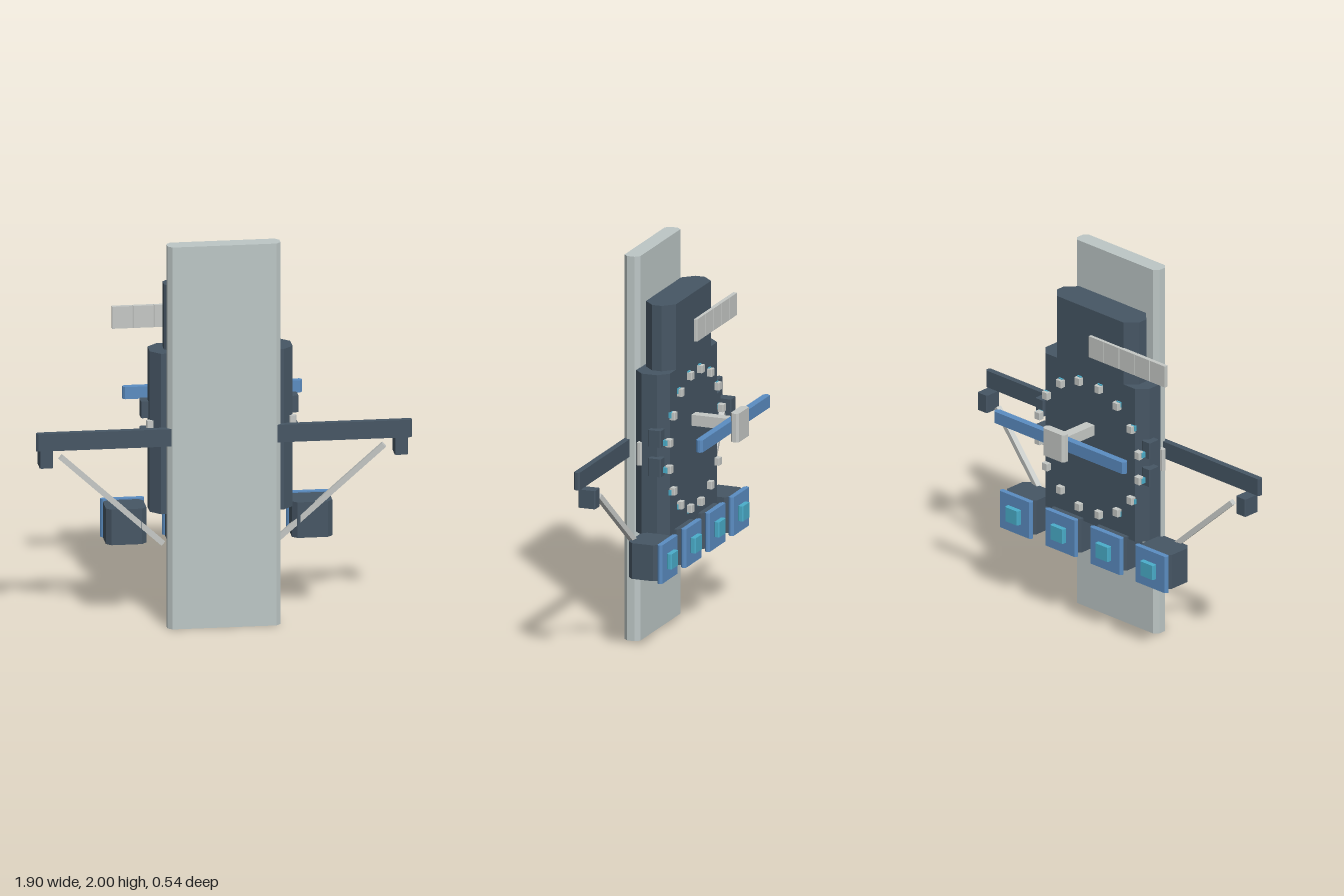
import * as THREE from 'three';

const mat = (name, color) => {
  const m = new THREE.MeshStandardMaterial({ color });
  m.name = name;
  return m;
};

export function createModel() {
  const model = new THREE.Group();
  const hull = mat('slate hull', 0x465664);
  const panel = mat('pale panel', 0xbdc7c6);
  const metal = mat('light metal', 0xc6c9c6);
  const blue = mat('blue', 0x5b8dc2);
  const cyan = mat('cyan light', 0x4aaecb);

  const add = (name, geo, material, parent = model) => {
    const mesh = new THREE.Mesh(geo, material);
    mesh.name = name;
    parent.add(mesh);
    return mesh;
  };

  // Box given by its limits, with the four upright edges chamfered by c
  const block = (name, x0, x1, y0, y1, z0, z1, c, material, parent) => {
    const s = new THREE.Shape([
      [x0 + c, -z1], [x1 - c, -z1], [x1, -z1 + c], [x1, -z0 - c],
      [x1 - c, -z0], [x0 + c, -z0], [x0, -z0 - c], [x0, -z1 + c],
    ].map(([x, y]) => new THREE.Vector2(x, y)));
    const geo = new THREE.ExtrudeGeometry(s, { depth: y1 - y0, bevelEnabled: false });
    geo.rotateX(-Math.PI / 2).translate(0, y0, 0);
    return add(name, geo, material, parent);
  };

  // Tall front slab and the hull behind it
  block('frontSlab', -0.285, 0.285, 0, 2, 0.185, 0.27, 0.022, panel);
  block('hull', -0.36, 0.36, 0.58, 1.42, 0.006, 0.188, 0.05, hull);
  block('upperHull', -0.285, 0.285, 1.4, 1.76, 0.006, 0.168, 0.055, hull);

  // Cross beam with end blocks and diagonal struts
  block('crossBeam', -0.948, 0.948, 0.957, 1.048, 0.234, 0.266, 0.01, hull);
  for (const s of [-1, 1]) {
    block('beamEndBlock', s * 0.895 - 0.033, s * 0.895 + 0.033, 0.862, 0.957, 0.157, 0.25, 0.006, hull);
    const a = new THREE.Vector3(s * 0.29, 0.402, 0.1);
    const b = new THREE.Vector3(s * 0.815, 0.9, 0.185);
    const strut = add('strut', new THREE.BoxGeometry(0.028, 0.028, a.distanceTo(b)), metal);
    strut.position.copy(a).lerp(b, 0.5);
    strut.lookAt(b);

    // Equipment boxes and a pale plate on the hull side
    const side = (name, y0, y1, z0, z1, out, m) =>
      block(name, Math.min(s * 0.34, s * out), Math.max(s * 0.34, s * out), y0, y1, z0, z1, 0.006, m);
    side('sideBox', 1.055, 1.142, 0.02, 0.088, 0.397, hull);
    side('sideBox', 0.902, 0.995, 0.02, 0.088, 0.397, hull);
    side('sidePlate', 0.945, 1.062, 0.135, 0.16, 0.378, metal);
  }

  // Row of four thrusters along the lower back
  for (const x of [-0.475, -0.163, 0.15, 0.463]) {
    const g = new THREE.Group();
    g.name = 'thruster';
    g.position.x = x;
    model.add(g);
    block('thrusterBody', -0.102, 0.102, 0.41, 0.596, -0.032, 0.132, 0.025, hull, g);
    block('thrusterPlate', -0.11, 0.11, 0.402, 0.602, -0.058, -0.03, 0.01, blue, g);
    block('thrusterLight', -0.045, 0.045, 0.464, 0.542, -0.085, -0.055, 0.006, cyan, g);
  }

  // Ring of studs on the back, each with a light on its outer side
  for (let i = 0; i < 16; i++) {
    const a = (i + 0.5) * Math.PI / 8;
    const g = new THREE.Group();
    g.name = 'ringStud';
    g.position.set(0.352 * Math.cos(a), 1.003 + 0.352 * Math.sin(a), 0);
    model.add(g);
    block('stud', -0.019, 0.019, -0.019, 0.019, -0.021, 0.012, 0.004, metal, g);
    const light = block('studLight', -0.014, 0.014, -0.014, 0.014, -0.003, 0.022, 0.002, cyan, g);
    light.position.set(0.01 * Math.cos(a), 0.01 * Math.sin(a), 0);
  }

  // Segmented side panel
  for (let i = 0; i < 5; i++) {
    const x = -0.533 + i * 0.106;
    block('panelSegment', x, x + 0.105, 1.505, 1.62, -0.012, 0.01, 0.002, metal);
  }

  // Rear mast with boom and end plate
  block('mast', -0.028, 0.028, 1.075, 1.132, -0.22, 0.03, 0.004, metal);
  block('boom', -0.453, 0.453, 1.071, 1.134, -0.226, -0.189, 0.012, blue);
  block('mastPlate', -0.075, 0.075, 1.028, 1.177, -0.267, -0.222, 0.012, metal);

  return model;
}
